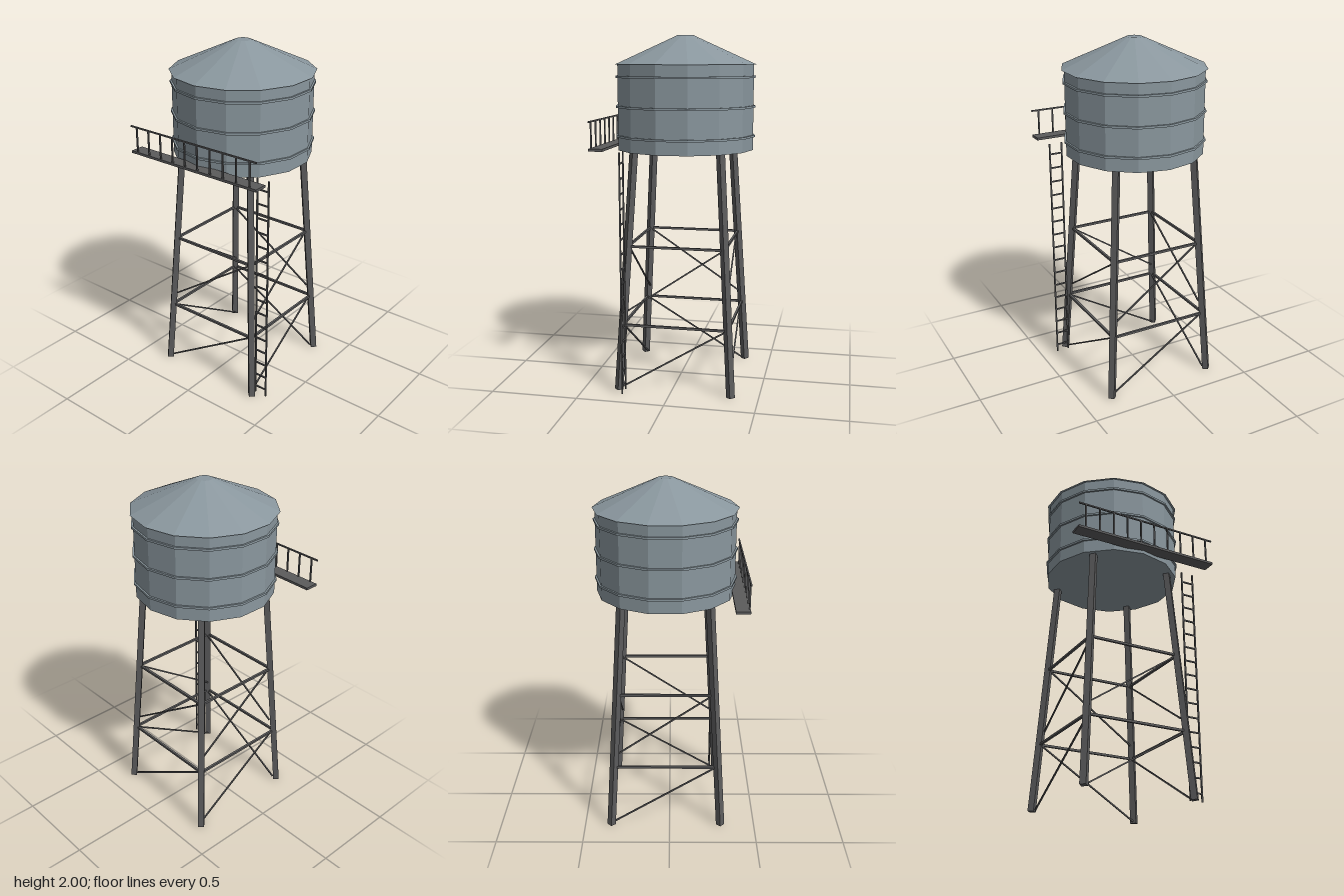
import * as THREE from 'three';

const CZ = -0.022; // tower axis in z
const SIDES = 14;

export function createModel() {
  const tankPaint = new THREE.MeshStandardMaterial({ color: 0x8a979e, flatShading: true });
  tankPaint.name = 'blue grey tank';
  const steel = new THREE.MeshStandardMaterial({ color: 0x5b5b5c, flatShading: true });
  steel.name = 'dark steel';

  const model = new THREE.Group();
  model.name = 'waterTower';

  const group = (name) => {
    const g = new THREE.Group();
    g.name = name;
    model.add(g);
    return g;
  };
  const drum = (name, rTop, rBottom, y0, y1) => {
    const m = new THREE.Mesh(new THREE.CylinderGeometry(rTop, rBottom, y1 - y0, SIDES), tankPaint);
    m.name = name;
    m.position.set(0, (y0 + y1) / 2, CZ);
    return m;
  };
  const box = (name, w, h, d, x, y, z) => {
    const m = new THREE.Mesh(new THREE.BoxGeometry(w, h, d), steel);
    m.name = name;
    m.position.set(x, y, z);
    return m;
  };
  // Square bar between two points, with one side turned towards the given direction
  const bar = (name, a, b, size, facing) => {
    const m = box(name, size, a.distanceTo(b), size, 0, 0, 0);
    const up = b.clone().sub(a).normalize();
    const right = up.clone().cross(facing).normalize();
    m.quaternion.setFromRotationMatrix(
      new THREE.Matrix4().makeBasis(right, up, right.clone().cross(up)));
    m.position.copy(a).add(b).multiplyScalar(0.5);
    return m;
  };

  // Tank with hoops and a shallow conical roof
  const tank = group('tank');
  tank.add(drum('tankBody', 0.39, 0.39, 1.36, 1.84));
  tank.add(drum('roof', 0.044, 0.404, 1.838, 2));
  for (const y of [1.44, 1.605, 1.77]) tank.add(drum('hoop', 0.4, 0.4, y - 0.006, y + 0.006));

  // Four legs leaning inwards, listed around the tower
  const corners = [[-1, 1], [1, 1], [1, -1], [-1, -1]];
  const legPoint = ([sx, sz], y, inset = 0) => {
    const r = 0.323 - 0.059 * y - inset;
    return new THREE.Vector3(sx * r, y, CZ + sz * r);
  };
  const legs = group('legs');
  for (const c of corners) {
    legs.add(bar('leg', legPoint(c, 0.001), legPoint(c, 1.37), 0.035,
      new THREE.Vector3(c[0], 0, c[1])));
  }

  // Two tiers of girts, with one diagonal rod per face
  const bracing = group('bracing');
  const vertical = new THREE.Vector3(0, 1, 0);
  for (const [low, high] of [[0.01, 0.38], [0.455, 0.832]]) {
    corners.forEach((c, i) => {
      const next = corners[(i + 1) % 4];
      bracing.add(bar('girt', legPoint(c, high), legPoint(next, high), 0.013, vertical));
      bracing.add(bar('diagonalRod', legPoint(c, low, 0.015), legPoint(next, high - 0.005, 0.008),
        0.008, vertical));
    });
  }

  // Ladder beside the front leg
  const ladder = group('ladder');
  for (const x of [0.322, 0.396]) ladder.add(box('ladderRail', 0.008, 1.37, 0.008, x, 0.69, 0.262));
  for (let i = 0; i < 16; i++) {
    ladder.add(box('rung', 0.074, 0.008, 0.008, 0.359, 0.05 + i * 0.0842, 0.262));
  }

  // Front walkway with a handrail
  const walkway = group('walkway');
  walkway.add(box('deck', 0.87, 0.014, 0.078, 0, 1.387, 0.384));
  walkway.add(box('handrail', 0.87, 0.008, 0.008, 0, 1.537, 0.419));
  for (let i = 0; i < 10; i++) {
    walkway.add(box('railPost', 0.008, 0.145, 0.008, -0.392 + i * 0.0871, 1.463, 0.419));
  }
  return model;
}
